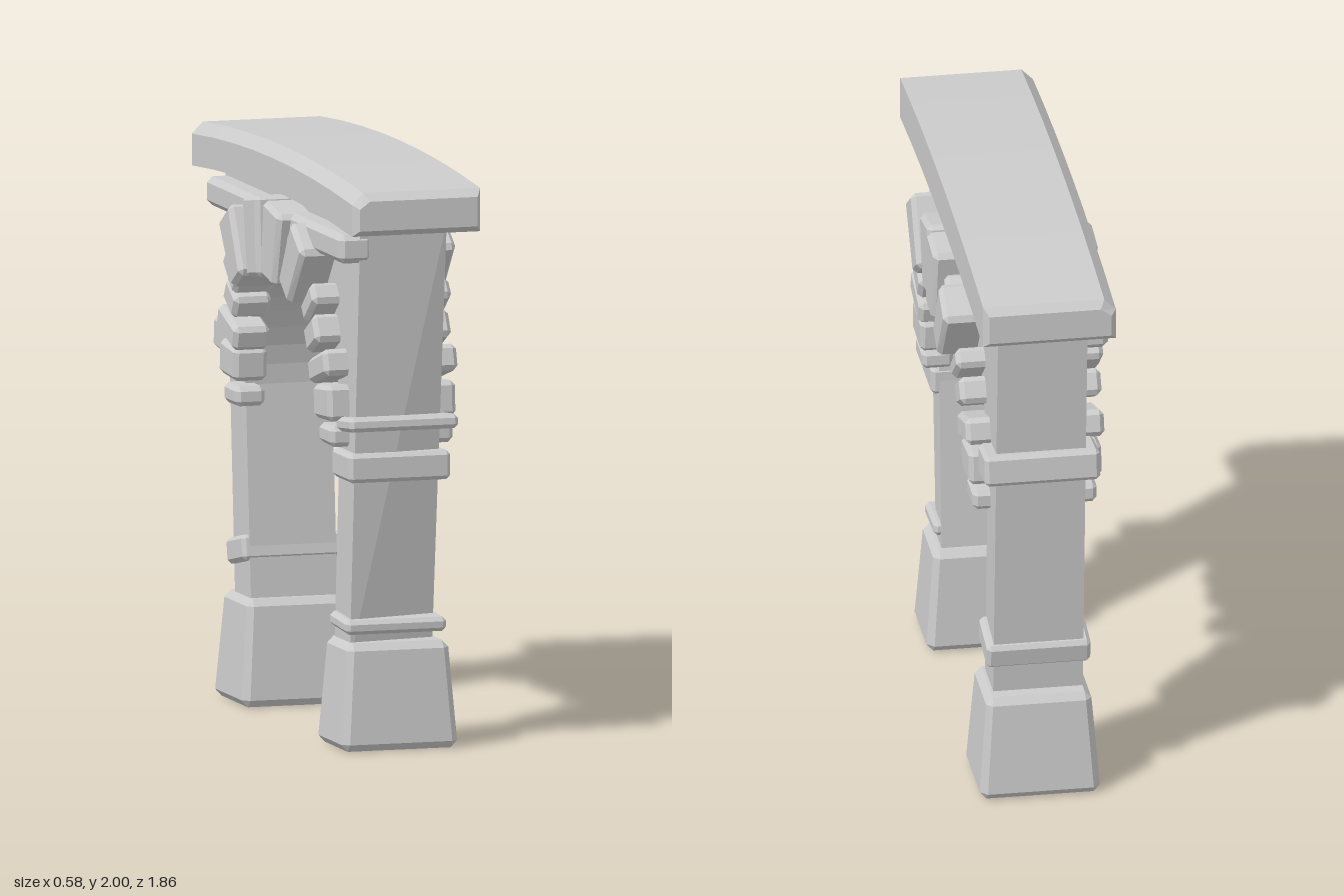
import * as THREE from 'three';
import { ConvexGeometry } from 'three/addons/geometries/ConvexGeometry.js';

const stone = new THREE.MeshStandardMaterial({ color: 0xcccccc, flatShading: true });

function add(parent, name, geometry, x = 0, y = 0, z = 0, tilt = 0) {
  const mesh = new THREE.Mesh(geometry, stone);
  mesh.name = name;
  mesh.position.set(x, y, z);
  mesh.rotation.x = tilt;
  parent.add(mesh);
  return mesh;
}

// Box with chamfered edges; topX and topZ scale its upper end
function chamferBox(w, h, d, c, topX = 1, topZ = 1) {
  const points = [];
  for (const sx of [-1, 1]) for (const sy of [-1, 1]) for (const sz of [-1, 1]) {
    for (let axis = 0; axis < 3; axis++) {
      const x = w / 2 - (axis === 0 ? 0 : c);
      const y = h / 2 - (axis === 1 ? 0 : c);
      const z = d / 2 - (axis === 2 ? 0 : c);
      const t = (sy * y + h / 2) / h;
      points.push(new THREE.Vector3(sx * x * (1 + (topX - 1) * t), sy * y, sz * z * (1 + (topZ - 1) * t)));
    }
  }
  return new ConvexGeometry(points);
}

// Two leaning legs joined by a wall with an arched opening
function wallGeometry() {
  const s = new THREE.Shape();
  s.moveTo(0.64, 0.3);
  s.lineTo(0.76, 1.83);
  s.lineTo(0, 1.87);
  s.lineTo(-0.76, 1.83);
  s.lineTo(-0.645, 0.3);
  s.lineTo(-0.465, 0.3);
  s.lineTo(-0.53, 1.1);
  s.absellipse(0, 1.1, 0.53, 0.52, Math.PI, 0, true);
  s.lineTo(0.465, 0.3);
  s.closePath();
  const g = new THREE.ExtrudeGeometry(s, { depth: 0.31, bevelEnabled: false, curveSegments: 12 });
  g.translate(0, 0, -0.155);
  g.rotateY(-Math.PI / 2);
  // the front leg narrows slightly towards its foot on one side
  const p = g.attributes.position;
  for (let i = 0; i < p.count; i++) {
    if (p.getZ(i) > 0.55 && p.getX(i) > 0) p.setZ(i, p.getZ(i) - 0.05 * (1.83 - p.getY(i)) / 1.5);
  }
  g.computeVertexNormals();
  return g;
}

// Gently arched slab, one top edge and both ends chamfered
function capGeometry() {
  const section = [[-0.23, -0.075], [0.23, -0.075], [0.23, 0.075], [-0.19, 0.075], [-0.23, 0.035]];
  const stations = [-0.925, -0.9, -0.66, -0.43, -0.2, 0, 0.2, 0.43, 0.66, 0.9, 0.93];
  const n = section.length, last = stations.length - 1;
  const pos = [], index = [];
  stations.forEach((z, i) => {
    const end = i === 0 || i === last;
    const mid = 1.925 - 0.04 * (z / 0.9) ** 2;
    for (const [x, y] of section) pos.push(x * (end ? 0.92 : 1), mid + y * (end ? 0.68 : 1), z);
  });
  for (let i = 0; i < last; i++) for (let k = 0; k < n; k++) {
    const a = i * n + k, b = i * n + (k + 1) % n;
    index.push(a, b, b + n, a, b + n, a + n);
  }
  for (let k = 1; k < n - 1; k++) {
    index.push(0, k + 1, k, last * n, last * n + k, last * n + k + 1);
  }
  const g = new THREE.BufferGeometry();
  g.setAttribute('position', new THREE.Float32BufferAttribute(pos, 3));
  g.setIndex(index);
  const flat = g.toNonIndexed();
  flat.computeVertexNormals();
  return flat;
}

// Arch stones: z, y, radial length, width, outer x
const archStones = [
  [0.56, 1.08, 0.15, 0.07, 0.22], [0.545, 1.19, 0.18, 0.12, 0.23],
  [0.525, 1.31, 0.2, 0.09, 0.24], [0.465, 1.415, 0.13, 0.1, 0.245],
  [0.45, 1.52, 0.15, 0.08, 0.25], [0.345, 1.64, 0.26, 0.15, 0.28],
  [0.235, 1.635, 0.19, 0.1, 0.25], [0.095, 1.675, 0.265, 0.17, 0.275],
  [-0.075, 1.68, 0.28, 0.15, 0.285], [-0.18, 1.63, 0.2, 0.09, 0.25],
  [-0.295, 1.615, 0.26, 0.14, 0.29], [-0.41, 1.51, 0.16, 0.07, 0.255],
  [-0.44, 1.415, 0.13, 0.09, 0.245], [-0.495, 1.305, 0.21, 0.09, 0.24],
  [-0.51, 1.19, 0.18, 0.12, 0.23], [-0.52, 1.07, 0.15, 0.07, 0.215],
];

// Stone bands round the legs: y, z, width, height, depth, tilt
const bands = [
  [0.43, 0.583, 0.36, 0.05, 0.205, 0.06],
  [0.98, 0.623, 0.365, 0.1, 0.205, 0],
  [1.13, 0.687, 0.39, 0.05, 0.175, -0.1],
  [0.525, -0.58, 0.36, 0.09, 0.195, -0.2],
  [1.25, -0.68, 0.4, 0.11, 0.16, 0.1],
];

export function createModel() {
  const model = new THREE.Group();
  model.name = 'stoneArch';

  add(model, 'archWall', wallGeometry());
  add(model, 'capSlab', capGeometry());

  // tapered feet
  add(model, 'frontFoot', chamferBox(0.42, 0.37, 0.31, 0.025, 0.86, 0.83), 0.005, 0.185, 0.565);
  add(model, 'backFoot', chamferBox(0.42, 0.37, 0.35, 0.025, 0.86, 0.81), 0.005, 0.185, -0.575);

  // moulding under the slab on one side
  add(model, 'moulding', chamferBox(0.12, 0.1, 1.51, 0.02), -0.17, 1.745, 0.005);

  for (const [y, z, w, h, d, tilt] of bands) {
    add(model, 'legBand', chamferBox(w, h, d, 0.014), 0, y, z, tilt);
  }

  // a ring of wedge stones on each face of the wall
  for (const side of [1, -1]) {
    const ring = new THREE.Group();
    ring.name = side > 0 ? 'leftArchRing' : 'rightArchRing';
    for (const [z, y, length, width, outer] of archStones) {
      const angle = Math.atan2(Math.max(y - 1.15, 0), z);
      const depth = outer - 0.11;
      const taper = length > 0.16 && y > 1.4 ? 1.3 : 1.08;
      const g = chamferBox(depth, length, width * 2 / (1 + taper), 0.016, 1, taper);
      add(ring, 'archStone', g, side * (0.11 + depth / 2), y, z, Math.PI / 2 - angle);
    }
    model.add(ring);
  }
  return model;
}
